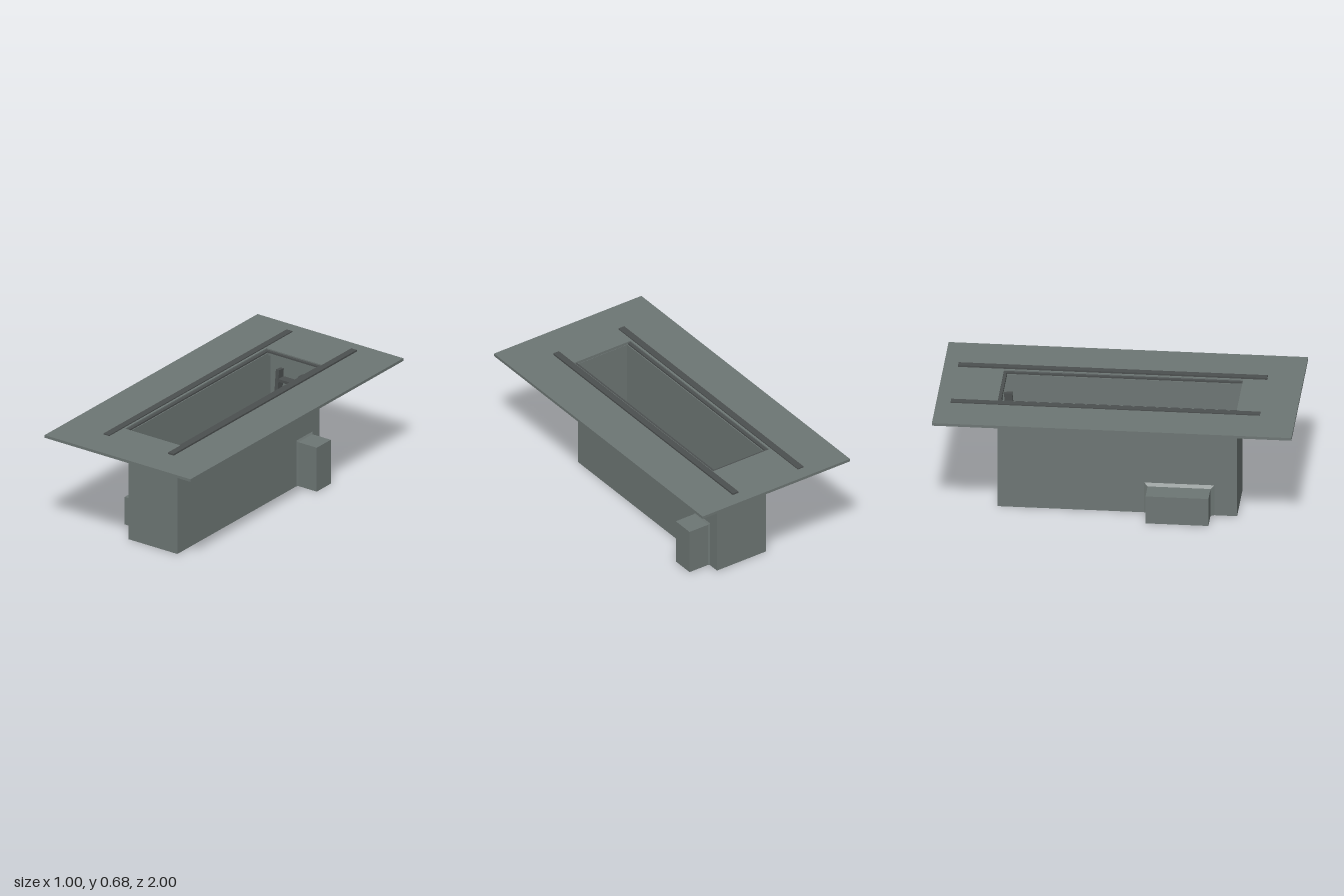
import * as THREE from 'three';

const concrete = new THREE.MeshStandardMaterial({ color: 0x6d7674, side: THREE.DoubleSide });
concrete.name = 'concrete grey';
const steel = new THREE.MeshStandardMaterial({ color: 0x4b4f4f });
steel.name = 'dark steel';

const W = 0.167, L = 0.667, WALL_TOP = 0.64;

function add(parent, name, geometry, material, x = 0, y = 0, z = 0) {
  const mesh = new THREE.Mesh(geometry, material);
  mesh.name = name;
  mesh.position.set(x, y, z);
  parent.add(mesh);
  return mesh;
}

function box(parent, name, material, x0, x1, y0, y1, z0, z1) {
  return add(parent, name, new THREE.BoxGeometry(x1 - x0, y1 - y0, z1 - z0), material,
    (x0 + x1) / 2, (y0 + y1) / 2, (z0 + z1) / 2);
}

// Horizontal plate with a rectangular opening; rectangles are [x0, x1, z0, z1]
function frame(parent, name, outer, inner, y0, y1) {
  const trace = (path, [x0, x1, z0, z1]) => {
    path.moveTo(x0, -z1); path.lineTo(x1, -z1);
    path.lineTo(x1, -z0); path.lineTo(x0, -z0); path.closePath();
    return path;
  };
  const shape = trace(new THREE.Shape(), outer);
  shape.holes.push(trace(new THREE.Path(), inner));
  const geo = new THREE.ExtrudeGeometry(shape, { depth: y1 - y0, bevelEnabled: false });
  geo.rotateX(-Math.PI / 2);
  return add(parent, name, geo, concrete, 0, y0, 0);
}

// Long wall with a floor-level notch where the alcove opens
function sideWall(parent, name, x, z0, z1, h) {
  const shape = new THREE.Shape([[-L, 0], [z0, 0], [z0, h], [z1, h], [z1, 0], [L, 0], [L, WALL_TOP], [-L, WALL_TOP]]
    .map(p => new THREE.Vector2(...p)));
  const geo = new THREE.ShapeGeometry(shape);
  geo.rotateY(-Math.PI / 2);
  add(parent, name, geo, concrete, x, 0, 0);
}

// Alcove lofted through rectangles [x, z0, z1, height], closed at the last one
function alcove(parent, name, sections) {
  const side = Math.sign(sections[0][0]);
  const rings = sections.map(([x, z0, z1, h]) => [[x, 0, z0], [x, 0, z1], [x, h, z1], [x, h, z0]]);
  const pos = [];
  const quad = (a, b, c, d) => {
    const q = side > 0 ? [a, b, c, a, c, d] : [a, c, b, a, d, c];
    q.forEach(p => pos.push(...p));
  };
  for (let i = 0; i < rings.length - 1; i++) {
    for (let j = 0; j < 4; j++) {
      const k = (j + 1) % 4;
      quad(rings[i][k], rings[i][j], rings[i + 1][j], rings[i + 1][k]);
    }
  }
  const end = rings[rings.length - 1];
  quad(end[3], end[2], end[1], end[0]);
  const geo = new THREE.BufferGeometry();
  geo.setAttribute('position', new THREE.Float32BufferAttribute(pos, 3));
  geo.computeVertexNormals();
  add(parent, name, geo, concrete);
}

export function createModel() {
  const model = new THREE.Group();
  model.name = 'servicePit';

  // Floor slab and the ledge below its opening
  frame(model, 'floorSlab', [-0.5, 0.5, -1, 1], [-0.19, 0.19, -0.662, L], 0.651, 0.667);
  frame(model, 'openingLedge', [-0.2, 0.2, -0.68, L], [-W, W, -0.645, L - 0.002], 0.637, 0.651);

  // Pit shell
  const pit = new THREE.Group();
  pit.name = 'pit';
  model.add(pit);
  const floor = new THREE.PlaneGeometry(2 * W, 2 * L);
  floor.rotateX(Math.PI / 2);
  add(pit, 'pitFloor', floor, concrete);
  for (const [name, z, turn] of [['frontWall', L, 0], ['backWall', -L, Math.PI]]) {
    add(pit, name, new THREE.PlaneGeometry(2 * W, WALL_TOP), concrete, 0, WALL_TOP / 2, z).rotation.y = turn;
  }
  sideWall(pit, 'leftWall', W, -0.6, -0.45, 0.278);
  sideWall(pit, 'rightWall', -W, 0.15, 0.54, 0.185);
  alcove(pit, 'leftAlcove', [[W, -0.6, -0.45, 0.278], [0.174, -0.592, -0.46, 0.267], [0.3, -0.592, -0.46, 0.267]]);
  alcove(pit, 'rightAlcove', [[-W, 0.15, 0.54, 0.185], [-0.178, 0.17, 0.52, 0.167], [-0.302, 0.17, 0.52, 0.167]]);

  // Steel edging around three sides of the opening
  for (const s of [-1, 1]) {
    const a = s * 0.172, b = s * 0.19;
    box(model, 'edgeTrim', steel, Math.min(a, b), Math.max(a, b), 0.651, 0.66, -0.66, L);
  }
  box(model, 'backEdgeTrim', steel, -0.19, 0.19, 0.651, 0.66, -0.662, -0.645);

  // Wheel rails
  box(model, 'leftRail', steel, 0.201, 0.239, 0.667, 0.677, -0.92, 0.8);
  box(model, 'rightRail', steel, -0.242, -0.203, 0.667, 0.673, -0.92, 0.8);

  // Leaning ladder on the back wall
  const ladder = new THREE.Group();
  ladder.name = 'ladder';
  model.add(ladder);
  const height = 0.58, zBottom = -0.57, zTop = -0.63;
  const lean = Math.atan2(zTop - zBottom, height);
  for (const s of [-1, 1]) {
    const rail = add(ladder, 'ladderRail', new THREE.BoxGeometry(0.022, height, 0.045), steel,
      s * 0.077, height / 2 + 0.005, (zBottom + zTop) / 2);
    rail.rotation.x = lean;
  }
  for (let i = 1; i <= 6; i++) {
    const t = i / 6.6;
    add(ladder, 'ladderRung', new THREE.BoxGeometry(0.14, 0.016, 0.05), steel,
      0, t * height, zBottom + (zTop - zBottom) * t);
  }
  return model;
}
